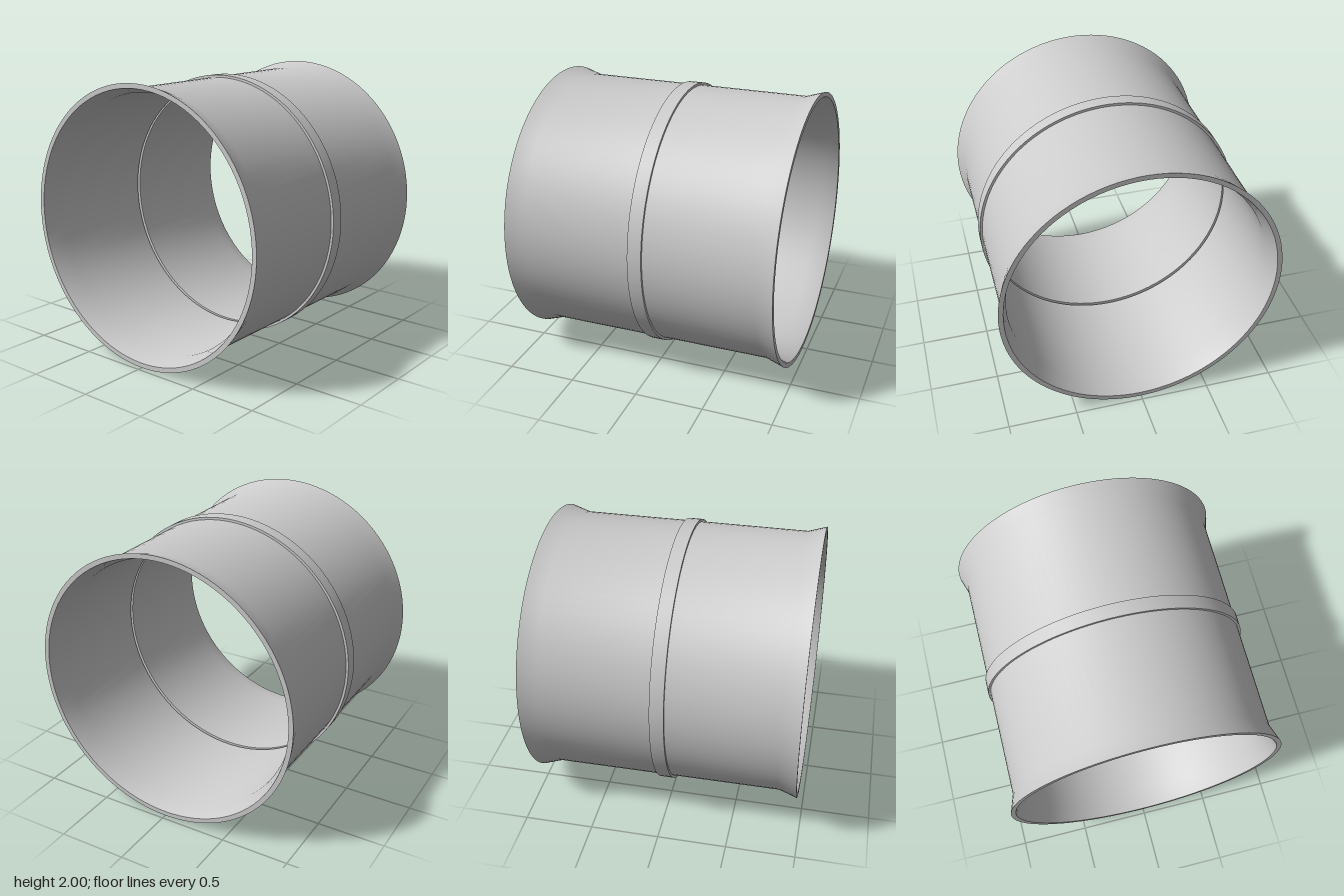
import * as THREE from 'three';
import { toCreasedNormals } from 'three/addons/utils/BufferGeometryUtils.js';

const SEGMENTS = 96;
const HALF_LENGTH = 0.965; // centre to open end
const HALF_GAP = 0.012;    // half the seam between the two sleeves

// Spins a closed [radius, z] profile around the z axis, keeping its edges sharp.
function ring(name, profile, material) {
  const points = [...profile, profile[0]].map(([r, z]) => new THREE.Vector2(r, z));
  const geometry = toCreasedNormals(new THREE.LatheGeometry(points, SEGMENTS), Math.PI / 5);
  geometry.rotateX(Math.PI / 2);
  const mesh = new THREE.Mesh(geometry, material);
  mesh.name = name;
  return mesh;
}

export function createModel() {
  const group = new THREE.Group();
  group.name = 'pipeCoupling';
  const material = new THREE.MeshStandardMaterial({ color: 0xcccccc });

  // Sleeve: straight wall with a flared mouth
  const sleeve = [
    [0.957, HALF_GAP], [0.957, 0.83], [1, HALF_LENGTH],
    [0.965, HALF_LENGTH], [0.925, 0.83], [0.925, HALF_GAP],
  ];
  const front = ring('frontSleeve', sleeve, material);
  const back = ring('backSleeve', sleeve, material);
  back.rotation.y = Math.PI;

  // Raised band that joins the two sleeves and closes the seam
  const band = ring('middleBand', [
    [0.975, -0.05], [0.975, 0.05], [0.95, 0.05], [0.95, -0.05],
  ], material);

  group.add(front, back, band);
  group.position.y = 1;

  const model = new THREE.Group();
  model.add(group);
  return model;
}
